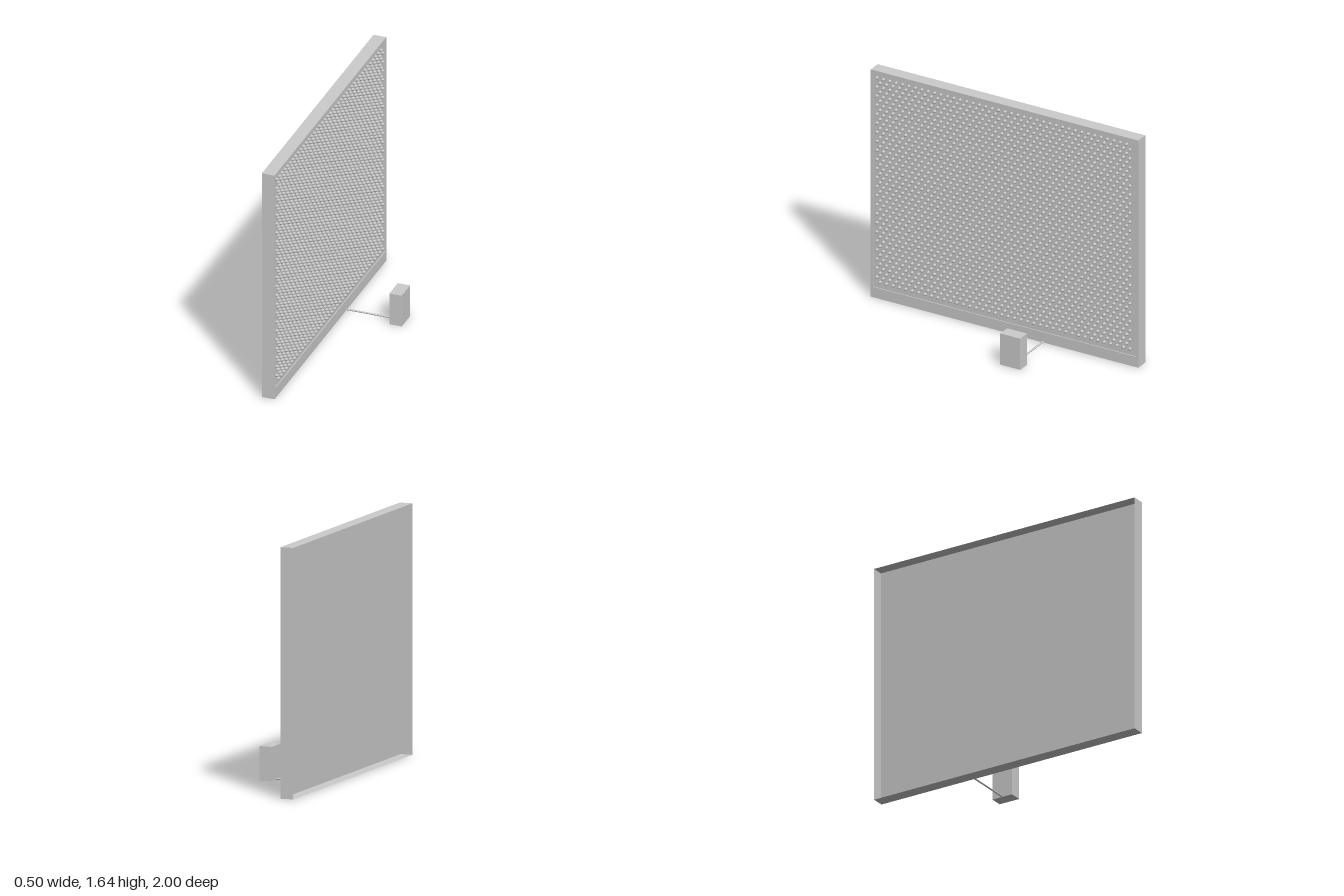
import * as THREE from 'three';
import { mergeGeometries } from 'three/addons/utils/BufferGeometryUtils.js';

const BACK = -0.25, FRONT = -0.162, RECESS = 0.006;
const HEIGHT = 1.64, HALF = 1;
const PANEL = { half: 0.982, bottom: 0.075, top: 1.625 };

export function createModel() {
  const model = new THREE.Group();
  const material = new THREE.MeshStandardMaterial({ color: 0xcccccc });
  const thin = new THREE.MeshStandardMaterial({ color: 0xcccccc, side: THREE.DoubleSide });

  function add(name, geometry, mat = material, parent = model) {
    const mesh = new THREE.Mesh(geometry, mat);
    mesh.name = name;
    parent.add(mesh);
    return mesh;
  }

  // Board: a thin-walled tray, open at the back
  const board = new THREE.Group();
  board.name = 'board';
  model.add(board);
  const depth = FRONT - BACK, midX = (FRONT + BACK) / 2;
  for (const s of [-1, 1]) {
    add(s > 0 ? 'frontSideWall' : 'rearSideWall', new THREE.PlaneGeometry(depth, HEIGHT), thin, board)
      .position.set(midX, HEIGHT / 2, s * HALF);
    const wall = add(s > 0 ? 'topWall' : 'bottomWall', new THREE.PlaneGeometry(depth, 2 * HALF), thin, board);
    wall.rotation.x = -Math.PI / 2;
    wall.position.set(midX, s > 0 ? HEIGHT : 0, 0);
  }

  // Bezel around the panel
  const rectangle = (target, half, y0, y1) => {
    target.moveTo(-half, y0).lineTo(half, y0).lineTo(half, y1).lineTo(-half, y1).closePath();
    return target;
  };
  const shape = rectangle(new THREE.Shape(), HALF, 0, HEIGHT);
  shape.holes.push(rectangle(new THREE.Path(), PANEL.half, PANEL.bottom, PANEL.top));
  const bezel = new THREE.ExtrudeGeometry(shape, { depth: RECESS, bevelEnabled: false });
  bezel.rotateY(Math.PI / 2).translate(FRONT - RECESS, 0, 0);
  add('bezel', bezel, material, board);

  // Slightly recessed panel
  const panel = new THREE.PlaneGeometry(2 * PANEL.half, PANEL.top - PANEL.bottom);
  panel.rotateY(Math.PI / 2).translate(FRONT - RECESS, (PANEL.top + PANEL.bottom) / 2, 0);
  add('panel', panel, thin, board);

  // Staggered rows of small domed studs
  const rows = 46, columns = 40, r = 0.011;
  const spacing = 1.89 / (columns - 0.5), rowStep = 1.47 / (rows - 1);
  const dome = new THREE.SphereGeometry(r, 8, 3, 0, Math.PI * 2, 0, Math.PI / 2);
  dome.rotateZ(-Math.PI / 2);
  // short skirt: the rim is stretched back to meet the panel
  const p = dome.attributes.position;
  for (let i = 0; i < p.count; i++) if (p.getX(i) < 1e-6) p.setX(i, -RECESS);
  const studs = [];
  for (let i = 0; i < rows; i++) {
    const shift = i % 2 ? 0 : spacing / 2;
    for (let j = 0; j < columns; j++) {
      studs.push(dome.clone().translate(FRONT, 0.12 + i * rowStep, 0.955 - shift - j * spacing));
    }
  }
  add('studs', mergeGeometries(studs), material, board);

  // Separate control box, joined to the board by a cable on the ground
  add('controlBox', new THREE.BoxGeometry(0.086, 0.225, 0.15)).position.set(0.207, 0.1125, -0.285);
  const cable = new THREE.CylinderGeometry(0.006, 0.006, 0.164 - FRONT, 10);
  cable.rotateZ(Math.PI / 2).translate((0.164 + FRONT) / 2, 0.006, -0.288);
  add('cable', cable);

  return model;
}
